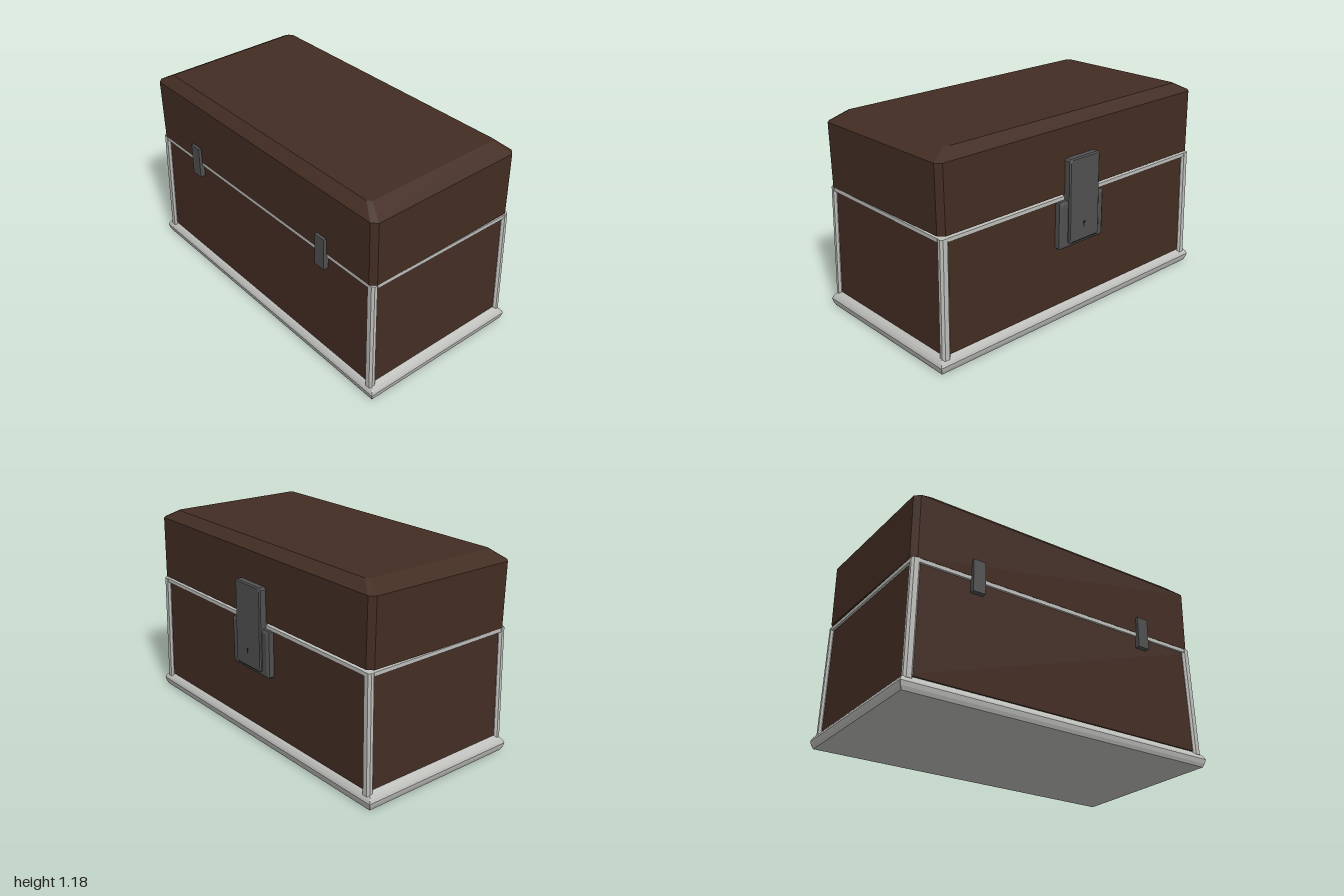
import * as THREE from 'three';

const flat = (name, color) => {
  const m = new THREE.MeshStandardMaterial({ color });
  m.name = name;
  return m;
};

// Closed solid lofted through chamfered rectangles: [y, halfX, halfZ, chamfer, centreX, centreZ]
function loft(sections) {
  const rings = sections.map(([y, hx, hz, c = 0.001, cx = 0, cz = 0]) => [
    [hx, hz - c], [hx, c - hz], [hx - c, -hz], [c - hx, -hz],
    [-hx, c - hz], [-hx, hz - c], [c - hx, hz], [hx - c, hz],
  ].map(([x, z]) => [x + cx, y, z + cz]));
  const pos = [];
  const tri = (...pts) => pts.forEach((p) => pos.push(...p));
  for (let i = 0; i < rings.length - 1; i++) {
    const a = rings[i], b = rings[i + 1];
    for (let j = 0; j < 8; j++) {
      const k = (j + 1) % 8;
      tri(a[j], a[k], b[k]);
      tri(a[j], b[k], b[j]);
    }
  }
  const low = rings[0], top = rings[rings.length - 1];
  for (let j = 1; j < 7; j++) {
    tri(top[0], top[j], top[j + 1]);
    tri(low[0], low[j + 1], low[j]);
  }
  const g = new THREE.BufferGeometry();
  g.setAttribute('position', new THREE.Float32BufferAttribute(pos, 3));
  g.computeVertexNormals();
  return g;
}

export function createModel() {
  const leather = flat('brown leather', 0x432d23);
  const trim = flat('pale metal trim', 0xbebebb);
  const iron = flat('dark iron', 0x505050);
  const black = flat('keyhole black', 0x151515);

  const chest = new THREE.Group();
  chest.name = 'chest';
  const add = (parent, name, geometry, material, x = 0, y = 0, z = 0) => {
    const mesh = new THREE.Mesh(geometry, material);
    mesh.name = name;
    mesh.position.set(x, y, z);
    parent.add(mesh);
    return mesh;
  };

  // Lower body, centred slightly forward to leave room for the lock
  const body = new THREE.Group();
  body.name = 'body';
  body.position.z = 0.012;
  chest.add(body);

  // Rounded base moulding
  const moulding = [
    [0, 0.985], [0.02, 0.994], [0.045, 1], [0.06, 0.994],
    [0.075, 0.983], [0.09, 0.965], [0.105, 0.935],
  ].map(([y, x]) => [y, x, x - 0.487]);
  add(body, 'baseMoulding', loft(moulding), trim);

  // Tapered leather panels
  add(body, 'panels', loft([[0.09, 0.96, 0.488], [0.725, 0.945, 0.48]]), leather);

  // Leaning corner posts
  for (const sx of [-1, 1]) {
    for (const sz of [-1, 1]) {
      const post = loft([
        [0.07, 0.026, 0.021, 0.012, sx * 0.95, sz * 0.482],
        [0.74, 0.026, 0.021, 0.012, sx * 0.934, sz * 0.474],
      ]);
      add(body, 'cornerPost', post, trim);
    }
  }

  // Rim rails around the opening
  for (const s of [-1, 1]) {
    add(body, 'longRail', new THREE.BoxGeometry(1.84, 0.022, 0.04), trim, 0, 0.729, s * 0.473);
    add(body, 'shortRail', new THREE.BoxGeometry(0.04, 0.022, 0.92), trim, s * 0.938, 0.729, 0);
  }

  // Lid, resting very slightly open about the hinge edge
  const lid = new THREE.Group();
  lid.name = 'lid';
  lid.position.set(0, 0.74, 0.507);
  lid.rotation.x = 0.0135;
  chest.add(lid);
  add(lid, 'lidShell', loft([
    [0, 0.96, 0.494, 0.03],
    [0.375, 0.96, 0.494, 0.03],
    [0.428, 0.86, 0.437, 0.02],
  ]), leather, 0, 0, -0.494);

  // Hinges
  for (const s of [-1, 1]) {
    add(chest, 'hinge', new THREE.BoxGeometry(0.075, 0.19, 0.03), iron, s * 0.57, 0.74, 0.51);
  }

  // Lock on the opposite long side: bevelled plate, hasp and keyhole
  const plate = add(chest, 'lockPlate', loft([
    [0, 0.17, 0.14, 0.008], [0.03, 0.17, 0.14, 0.008], [0.04, 0.155, 0.125, 0.008],
  ]), iron, 0, 0.58, -0.47);
  plate.rotation.x = -Math.PI / 2;

  const hasp = add(chest, 'hasp', loft([
    [0, 0.116, 0.245, 0.012], [0.046, 0.116, 0.245, 0.012], [0.052, 0.108, 0.237, 0.012],
  ]), iron, -0.003, 0.71, -0.47);
  hasp.rotation.x = -Math.PI / 2 + 0.0135;

  const keyhole = new THREE.Group();
  keyhole.name = 'keyhole';
  keyhole.position.set(0, 0.57, -0.525);
  keyhole.rotation.y = Math.PI;
  chest.add(keyhole);
  add(keyhole, 'keyholeRound', new THREE.CircleGeometry(0.01, 12), black);
  add(keyhole, 'keyholeSlot', new THREE.PlaneGeometry(0.008, 0.025), black, 0, -0.014, 0.0005);

  return chest;
}
